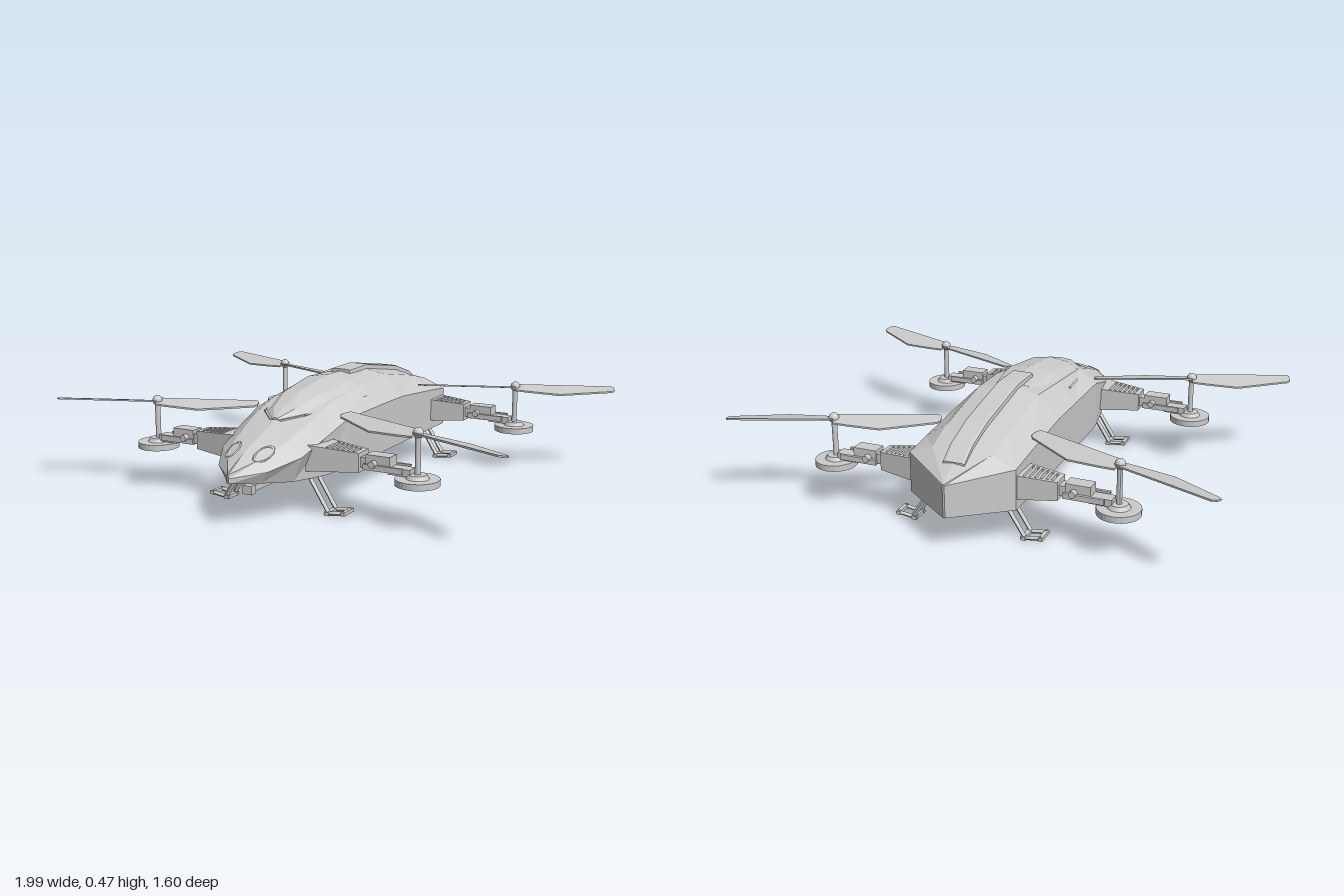
import * as THREE from 'three';

const material = new THREE.MeshStandardMaterial({ color: 0xcccccc, flatShading: true, side: THREE.DoubleSide });

function add(parent, name, geometry, x = 0, y = 0, z = 0) {
  const mesh = new THREE.Mesh(geometry, material);
  mesh.name = name;
  mesh.position.set(x, y, z);
  parent.add(mesh);
  return mesh;
}

const box = (parent, name, w, h, d, x, y, z) => add(parent, name, new THREE.BoxGeometry(w, h, d), x, y, z);

// Square or round bar between two points
function bar(parent, name, a, b, radius, sides = 4) {
  const from = new THREE.Vector3(...a), to = new THREE.Vector3(...b);
  const mesh = add(parent, name, new THREE.CylinderGeometry(radius, radius, from.distanceTo(to), sides));
  mesh.position.copy(from).add(to).multiplyScalar(0.5);
  mesh.quaternion.setFromUnitVectors(new THREE.Vector3(0, 1, 0), to.sub(from).normalize());
  return mesh;
}

// Closed loft through mirrored half sections [z, x, y, x, y, ...], ordered back to front
function loft(sections) {
  const rings = sections.map(([z, ...half]) => {
    const right = [];
    for (let i = 0; i < half.length; i += 2) right.push([half[i], half[i + 1], z]);
    const left = right.filter(p => p[0] > 0).reverse().map(p => [-p[0], p[1], z]);
    return [...right, ...left];
  });
  const pos = [], n = rings[0].length, last = rings.length - 1;
  const tri = (a, b, c) => pos.push(...a, ...b, ...c);
  for (let i = 0; i < last; i++) {
    for (let j = 0; j < n; j++) {
      const k = (j + 1) % n, p = rings[i], q = rings[i + 1];
      tri(p[j], p[k], q[j]);
      tri(p[k], q[k], q[j]);
    }
  }
  for (let j = 1; j < n - 1; j++) {
    tri(rings[0][0], rings[0][j + 1], rings[0][j]);
    tri(rings[last][0], rings[last][j], rings[last][j + 1]);
  }
  const geometry = new THREE.BufferGeometry();
  geometry.setAttribute('position', new THREE.Float32BufferAttribute(pos, 3));
  geometry.computeVertexNormals();
  return geometry;
}

// Flat plate from a plan outline in x and z, top face at y = 0
function plate(points, depth, holes = []) {
  const toVec = list => list.map(p => new THREE.Vector2(...p));
  const shape = new THREE.Shape(toVec(points));
  holes.forEach(h => shape.holes.push(new THREE.Path(toVec(h))));
  return new THREE.ExtrudeGeometry(shape, { depth, bevelEnabled: false }).rotateX(Math.PI / 2);
}

function buildBody(group) {
  // Hull: belly corner, side edge, shoulder, ridge
  add(group, 'hull', loft([
    [-0.8, 0.004, 0.145, 0.004, 0.275, 0.002, 0.28, 0, 0.281],
    [-0.64, 0.22, 0.145, 0.22, 0.31, 0.12, 0.35, 0, 0.365],
    [-0.5, 0.22, 0.145, 0.22, 0.325, 0.13, 0.385, 0, 0.412],
    [-0.2, 0.22, 0.145, 0.22, 0.35, 0.13, 0.44, 0, 0.465],
    [0, 0.22, 0.145, 0.22, 0.35, 0.14, 0.43, 0, 0.455],
    [0.27, 0.215, 0.145, 0.215, 0.345, 0.13, 0.4, 0, 0.42],
    [0.42, 0.19, 0.145, 0.2, 0.3, 0.13, 0.355, 0, 0.375],
    [0.57, 0.14, 0.15, 0.18, 0.25, 0.11, 0.3, 0, 0.32],
    [0.7, 0.08, 0.168, 0.11, 0.215, 0.07, 0.255, 0, 0.27],
    [0.8, 0.004, 0.18, 0.004, 0.2, 0.002, 0.215, 0, 0.22],
  ]));

  // Canopy shell over the front half
  const canopy = [
    [-0.15, 0.12, 0.43, 0.07, 0.45, 0, 0.462],
    [0.05, 0.172, 0.39, 0.1, 0.45, 0, 0.468],
    [0.27, 0.148, 0.375, 0.08, 0.427, 0, 0.44],
    [0.4, 0.09, 0.365, 0.05, 0.392, 0, 0.398],
    [0.47, 0.02, 0.35, 0.01, 0.362, 0, 0.364],
  ];
  add(group, 'canopy', loft(canopy));
  for (const s of [-1, 1]) {
    const rim = canopy.slice(1).map(c => [s * c[1], c[2] + 0.003, c[0]]);
    for (let i = 0; i < rim.length - 1; i++) bar(group, 'canopyRim', rim[i], rim[i + 1], 0.006);
  }

  // Raised spine strip
  const spine = [[-0.71, 0.332], [-0.64, 0.377], [-0.5, 0.424], [-0.2, 0.476], [-0.05, 0.474]];
  add(group, 'spineStrip', loft(spine.map(([z, y]) => [z, 0.046, y - 0.03, 0.044, y - 0.003, 0.036, y])));

  // Oval nose lamps: rim and inset lens
  for (const s of [-1, 1]) {
    const lamp = new THREE.Group();
    lamp.name = 'noseLamp';
    lamp.position.set(s * 0.068, 0.269, 0.66);
    lamp.rotation.set(0.36, s * -0.2, s * -0.3);
    lamp.scale.set(0.55, 0.6, 1.05);
    add(lamp, 'lampRim', new THREE.TorusGeometry(0.045, 0.009, 6, 20).rotateX(Math.PI / 2));
    add(lamp, 'lampLens', new THREE.CylinderGeometry(0.04, 0.045, 0.012, 20));
    group.add(lamp);
  }

  // Gun below the nose
  box(group, 'gunMount', 0.1, 0.035, 0.07, 0, 0.128, 0.425);
  box(group, 'gunBarrel', 0.028, 0.024, 0.24, 0, 0.126, 0.55);
  box(group, 'gunMuzzle', 0.04, 0.034, 0.03, 0, 0.124, 0.66);
}

function buildCorner() {
  const corner = new THREE.Group();
  corner.name = 'rotorArm';

  // Tapered arm root: solid lower block and slotted cover
  const outline = [[0.16, -0.075], [0.37, -0.04], [0.37, 0.04], [0.16, 0.075]];
  const slots = [];
  for (let i = 0; i < 6; i++) {
    const x = 0.235 + i * 0.021, w = 0.05 - i * 0.004;
    slots.push([[x, -w], [x + 0.011, -w], [x + 0.011, w], [x, w]]);
  }
  const splay = geometry => {
    const p = geometry.attributes.position;
    for (let i = 0; i < p.count; i++) p.setY(i, 0.232 + p.getY(i) * (1 + (0.37 - p.getX(i)) * 1.8));
    geometry.computeVertexNormals();
    return geometry;
  };
  add(corner, 'armRoot', splay(plate(outline, 0.059).translate(0, 0.022, 0)));
  add(corner, 'armVent', splay(plate(outline, 0.016, slots).translate(0, 0.038, 0)));

  // Jointed outer arm with side plates and pivot
  box(corner, 'armNeck', 0.08, 0.04, 0.05, 0.39, 0.232, 0);
  box(corner, 'armJoint', 0.1, 0.06, 0.06, 0.445, 0.237, 0);
  for (const s of [-1, 1]) box(corner, 'armFork', 0.16, 0.022, 0.012, 0.47, 0.222, s * 0.038);
  bar(corner, 'armPivot', [0.43, 0.235, -0.055], [0.43, 0.235, 0.055], 0.014, 12);
  box(corner, 'armTip', 0.09, 0.028, 0.05, 0.53, 0.214, 0);

  // Motor disc, shaft and hub
  add(corner, 'motorDisc', new THREE.CylinderGeometry(0.085, 0.085, 0.025, 28), 0.595, 0.182, 0);
  add(corner, 'motorCap', new THREE.CylinderGeometry(0.035, 0.045, 0.016, 20), 0.595, 0.202, 0);
  add(corner, 'rotorShaft', new THREE.CylinderGeometry(0.011, 0.011, 0.17, 12), 0.595, 0.28, 0);
  add(corner, 'rotorHub', new THREE.SphereGeometry(0.021, 14, 10), 0.595, 0.367, 0);

  // Two pitched blades
  const blade = plate([
    [0, 0.028], [0, -0.035], [0.06, -0.05], [0.19, -0.076], [0.41, -0.028],
    [0.425, -0.016], [0.426, 0.016], [0.415, 0.029],
  ], 0.007);
  const p = blade.attributes.position;
  for (let i = 0; i < p.count; i++) p.setY(i, p.getY(i) + p.getZ(i) * 0.2);
  blade.computeVertexNormals();
  const rotor = new THREE.Group();
  rotor.name = 'rotor';
  rotor.position.set(0.595, 0.366, 0);
  rotor.rotation.y = -0.375;
  for (const turn of [0, Math.PI]) add(rotor, 'rotorBlade', blade).rotation.y = turn;
  corner.add(rotor);

  // Landing leg: paired struts, crossbar and foot
  for (const z of [-0.028, 0.032]) {
    bar(corner, 'legStrut', [0.14, 0.17, z], [0.235, 0.02, z], 0.01);
    bar(corner, 'legFoot', [0.22, 0.011, z], [0.305, 0.022, z], 0.009);
  }
  box(corner, 'footCrossbar', 0.02, 0.014, 0.078, 0.232, 0.012, 0.002);
  box(corner, 'footEnd', 0.016, 0.014, 0.078, 0.302, 0.021, 0.002);
  return corner;
}

export function createModel() {
  const group = new THREE.Group();
  group.name = 'quadRotorCraft';
  buildBody(group);

  // Four mirrored corners
  for (const [z, sz] of [[0.44, 1], [-0.565, -1]]) {
    for (const sx of [-1, 1]) {
      const corner = buildCorner();
      corner.position.z = z;
      corner.scale.set(sx, 1, sz);
      group.add(corner);
    }
  }
  return group;
}
